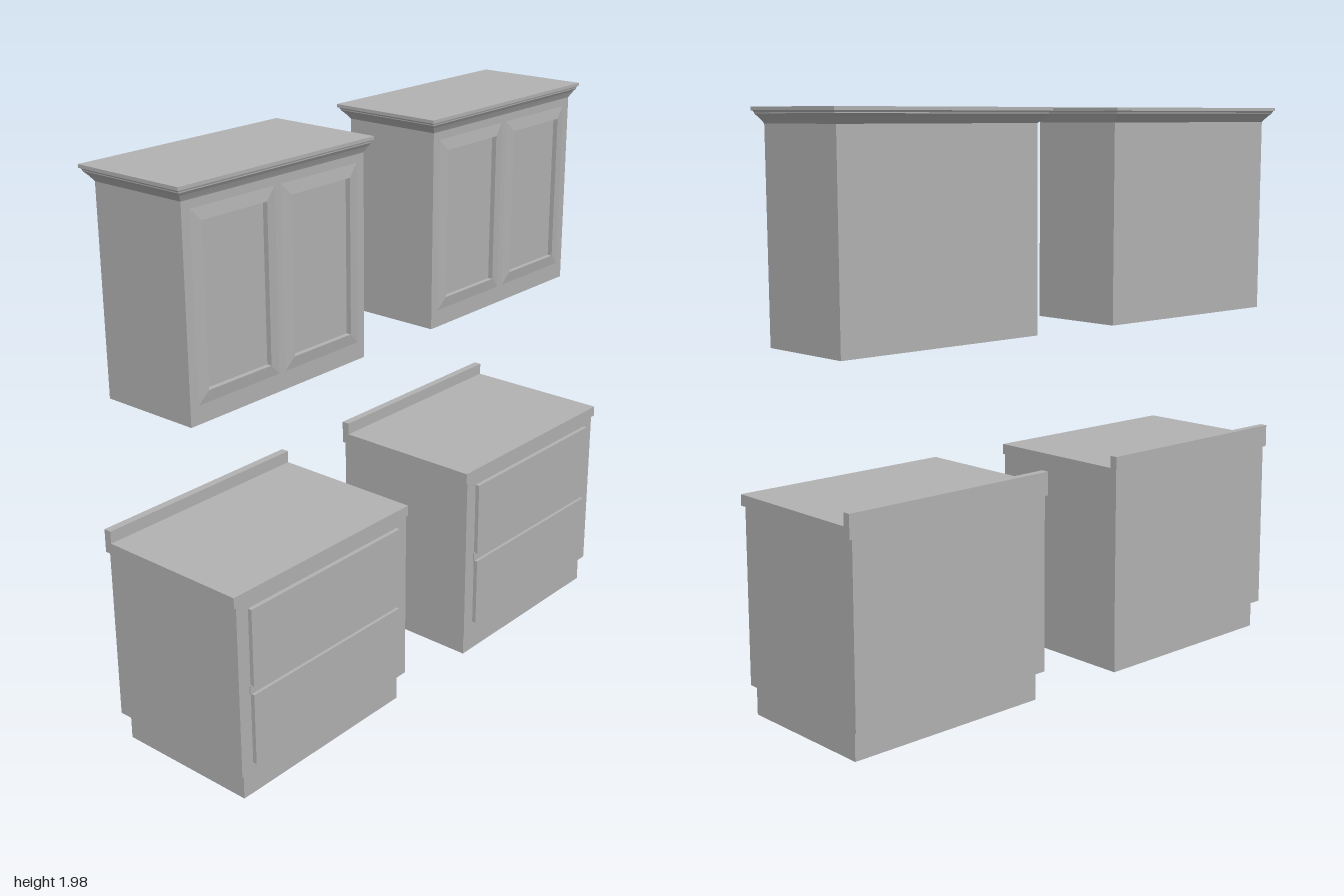
import * as THREE from 'three';

const grey = new THREE.MeshStandardMaterial({ color: 0xb2b2b2 });
grey.name = 'cabinet grey';

function add(parent, name, geometry) {
  const mesh = new THREE.Mesh(geometry, grey);
  mesh.name = name;
  parent.add(mesh);
  return mesh;
}

// Box given by its limits on each axis
function box(parent, name, [x0, x1], [y0, y1], [z0, z1]) {
  const mesh = add(parent, name, new THREE.BoxGeometry(x1 - x0, y1 - y0, z1 - z0));
  mesh.position.set((x0 + x1) / 2, (y0 + y1) / 2, (z0 + z1) / 2);
}

// Flat-faced skin between successive four-cornered rings
function loft(rings) {
  const points = [];
  for (let r = 0; r + 1 < rings.length; r++) {
    for (let i = 0; i < 4; i++) {
      const j = (i + 1) % 4, a = rings[r], b = rings[r + 1];
      points.push(...a[i], ...a[j], ...b[j], ...a[i], ...b[j], ...b[i]);
    }
  }
  const geometry = new THREE.BufferGeometry();
  geometry.setAttribute('position', new THREE.Float32BufferAttribute(points, 3));
  geometry.computeVertexNormals();
  return geometry;
}

const uprightRing = ([x0, x1], [y0, y1], z) => [[x0, y0, z], [x1, y0, z], [x1, y1, z], [x0, y1, z]];
const levelRing = ([x0, x1], [z0, z1], y) => [[x0, y, z1], [x1, y, z1], [x1, y, z0], [x0, y, z0]];
const mix = (a, b, t) => a.map((v, i) => v + (b[i] - v) * t);
const grow = (a, d) => [a[0] - d, a[1] + d];

function wallCabinet(name, bodyX, corniceX) {
  const g = new THREE.Group();
  g.name = name;
  const bodyZ = [-0.257, 0.105], corniceZ = [-0.295, 0.126];
  const bottom = 1.245, top = 1.935, recess = 0.012;
  const panelY = [1.345, 1.863];
  const middle = (bodyX[0] + bodyX[1]) / 2;
  const panels = [
    [bodyX[0] + 0.073, middle - 0.053],
    [middle + 0.053, bodyX[1] - 0.073],
  ];
  box(g, 'cabinetBody', bodyX, [bottom, top], [bodyZ[0], bodyZ[1] - recess]);

  // Face frame with an opening for each recessed panel
  const rectangle = (path, [x0, x1], [y0, y1]) =>
    path.moveTo(x0, y0).lineTo(x1, y0).lineTo(x1, y1).lineTo(x0, y1).closePath();
  const face = rectangle(new THREE.Shape(), bodyX, [bottom, top]);
  for (const p of panels) face.holes.push(rectangle(new THREE.Path(), p, panelY));
  add(g, 'faceFrame', new THREE.ExtrudeGeometry(face, { depth: recess, bevelEnabled: false }))
    .position.z = bodyZ[1] - recess;

  // Sloping door mouldings rise to the rim, then drop to the panel
  for (const p of panels) {
    add(g, 'doorMoulding', loft([
      uprightRing(grow(p, 0.04), grow(panelY, 0.04), bodyZ[1]),
      uprightRing(p, panelY, bodyZ[1] + 0.006),
      uprightRing(p, panelY, bodyZ[1] - recess),
    ]));
  }

  // Cornice sweeping outwards to a thin top slab
  const profile = [[0, 1.93], [0.15, 1.937], [0.45, 1.95], [0.75, 1.96], [0.75, 1.963], [0.88, 1.97]];
  add(g, 'cornice', loft(profile.map(([t, y]) =>
    levelRing(mix(bodyX, corniceX, t), mix(bodyZ, corniceZ, t), y))));
  box(g, 'corniceTop', corniceX, [1.969, 1.98], corniceZ);
  return g;
}

function baseCabinet(name, bodyX, counterX, kickX) {
  const g = new THREE.Group();
  g.name = name;
  const front = 0.28;
  box(g, 'toeKick', kickX, [0, 0.1], [-0.27, 0.262]);
  box(g, 'cabinetBody', bodyX, [0.1, 0.712], [-0.29, front]);
  box(g, 'countertop', counterX, [0.712, 0.75], [-0.295, front + 0.004]);
  box(g, 'backsplash', counterX, [0.75, 0.793], [-0.295, -0.267]);
  // Two drawer fronts with a slim rail between
  const drawerX = [bodyX[0] + 0.05, bodyX[1] - 0.052];
  box(g, 'upperDrawer', drawerX, [0.417, 0.687], [front, 0.295]);
  box(g, 'lowerDrawer', drawerX, [0.131, 0.385], [front, 0.295]);
  box(g, 'drawerRail', grow(drawerX, 0.005), [0.385, 0.417], [front, front + 0.004]);
  return g;
}

export function createModel() {
  const model = new THREE.Group();
  model.name = 'kitchenCabinets';
  model.add(
    wallCabinet('rightWallCabinet', [-0.972, -0.187], [-1, -0.16]),
    wallCabinet('leftWallCabinet', [0.17, 0.966], [0.14, 1]),
    baseCabinet('rightBaseCabinet', [-0.988, -0.177], [-1, -0.172], [-0.965, -0.2]),
    baseCabinet('leftBaseCabinet', [0.166, 0.963], [0.156, 0.976], [0.188, 0.952]),
  );
  return model;
}
